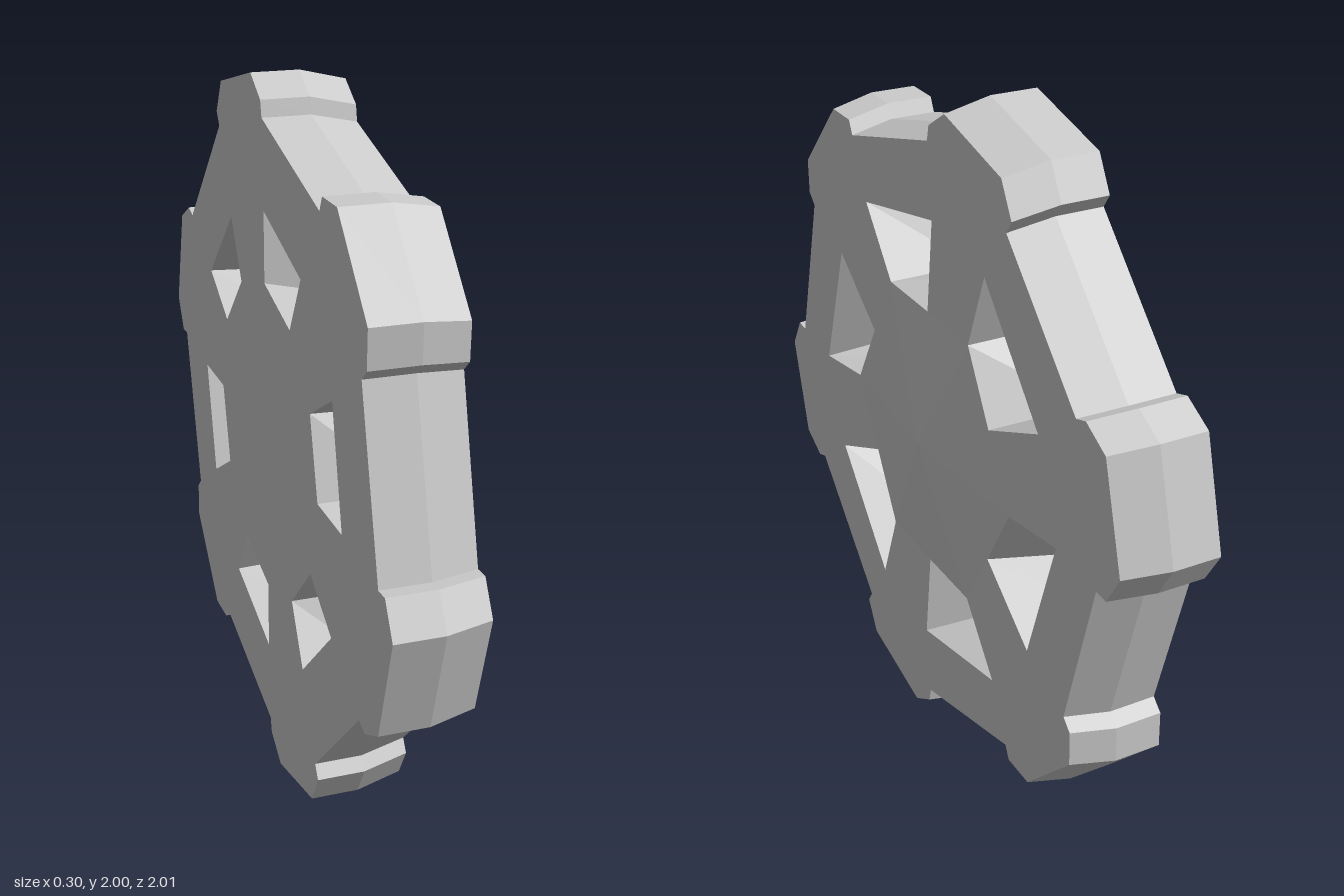
import * as THREE from 'three';

// One sixth of each profile, as [across, up] around the hub; the rest follows by rotation.
const RIM = [[0.008, 0.9], [0.018, 0.945], [0.107, 1], [0.407, 0.925], [0.46, 0.83], [0.435, 0.793]];
const OUTER_HOLE = [[-0.225, 0.395], [0, 0.395], [0.03, 0.665], [-0.375, 0.58]];
const INNER_HOLE = [[-0.225, 0.395], [0, 0.455], [0, 0.655], [-0.32, 0.56]];
const BACK = -0.153, MID = -0.018, FRONT = 0.11, APEX = 0.147, TAPER = 0.97;

const spin = (pts, k) => {
  const c = Math.cos(k * Math.PI / 3), s = Math.sin(k * Math.PI / 3);
  return pts.map(([u, v]) => [u * c + v * s, v * c - u * s]);
};
const sixfold = (pts) => [0, 1, 2, 3, 4, 5].map((k) => spin(pts, k));
const scaled = (pts, f) => pts.map(([u, v]) => [u * f, v * f]);

function fromTriangles(coords) {
  const g = new THREE.BufferGeometry();
  g.setAttribute('position', new THREE.Float32BufferAttribute(coords, 3));
  g.computeVertexNormals();
  return g;
}

// Wall joining two closed loops at depths wa and wb
function band(a, wa, b, wb) {
  const out = [];
  a.forEach((p, i) => {
    const j = (i + 1) % a.length;
    out.push(...a[j], wa, ...p, wa, ...b[i], wb);
    out.push(...a[j], wa, ...b[i], wb, ...b[j], wb);
  });
  return fromTriangles(out);
}

// Flat plate with six holes; the back one is mirrored and then turned round
function plate(outline, hole, depth, back) {
  const vec = (pts) => pts.map(([u, v]) => new THREE.Vector2(back ? -u : u, v));
  const shape = new THREE.Shape(vec(outline));
  sixfold(hole).forEach((h) => shape.holes.push(new THREE.Path(vec(h))));
  const g = new THREE.ShapeGeometry(shape);
  if (back) g.rotateY(Math.PI);
  return g.translate(0, 0, depth);
}

export function createModel() {
  const model = new THREE.Group();
  model.name = 'hexagonalWheel';
  const wheel = new THREE.Group();
  wheel.name = 'wheel';
  const material = new THREE.MeshStandardMaterial({ color: 0xcccccc, flatShading: true });
  const add = (name, geometry) => {
    const mesh = new THREE.Mesh(geometry, material);
    mesh.name = name;
    wheel.add(mesh);
    return mesh;
  };

  // Notched tread: straight half, then a slight taper
  const rim = sixfold(RIM).flat();
  const taperedRim = scaled(rim, TAPER);
  add('straightTread', band(rim, BACK, rim, MID));
  add('taperedTread', band(rim, MID, taperedRim, FRONT));

  // Side faces
  add('outerFace', plate(taperedRim, OUTER_HOLE, FRONT, false));
  add('innerFace', plate(rim, INNER_HOLE, BACK, true));

  // Walls of the six twisted holes
  for (let k = 0; k < 6; k++) {
    add('holeWall', band(spin(INNER_HOLE, k), BACK, spin(OUTER_HOLE, k), FRONT));
  }

  // Shallow faceted hub cap between the holes
  const hub = sixfold(OUTER_HOLE.slice(0, 2)).flat();
  const cap = [];
  hub.forEach((p, i) => {
    cap.push(0, 0, APEX, ...hub[(i + 1) % hub.length], FRONT, ...p, FRONT);
  });
  add('hubCap', fromTriangles(cap));

  // Axle along x, standing on the ground
  wheel.rotation.y = Math.PI / 2;
  wheel.position.y = 1;
  model.add(wheel);
  return model;
}
